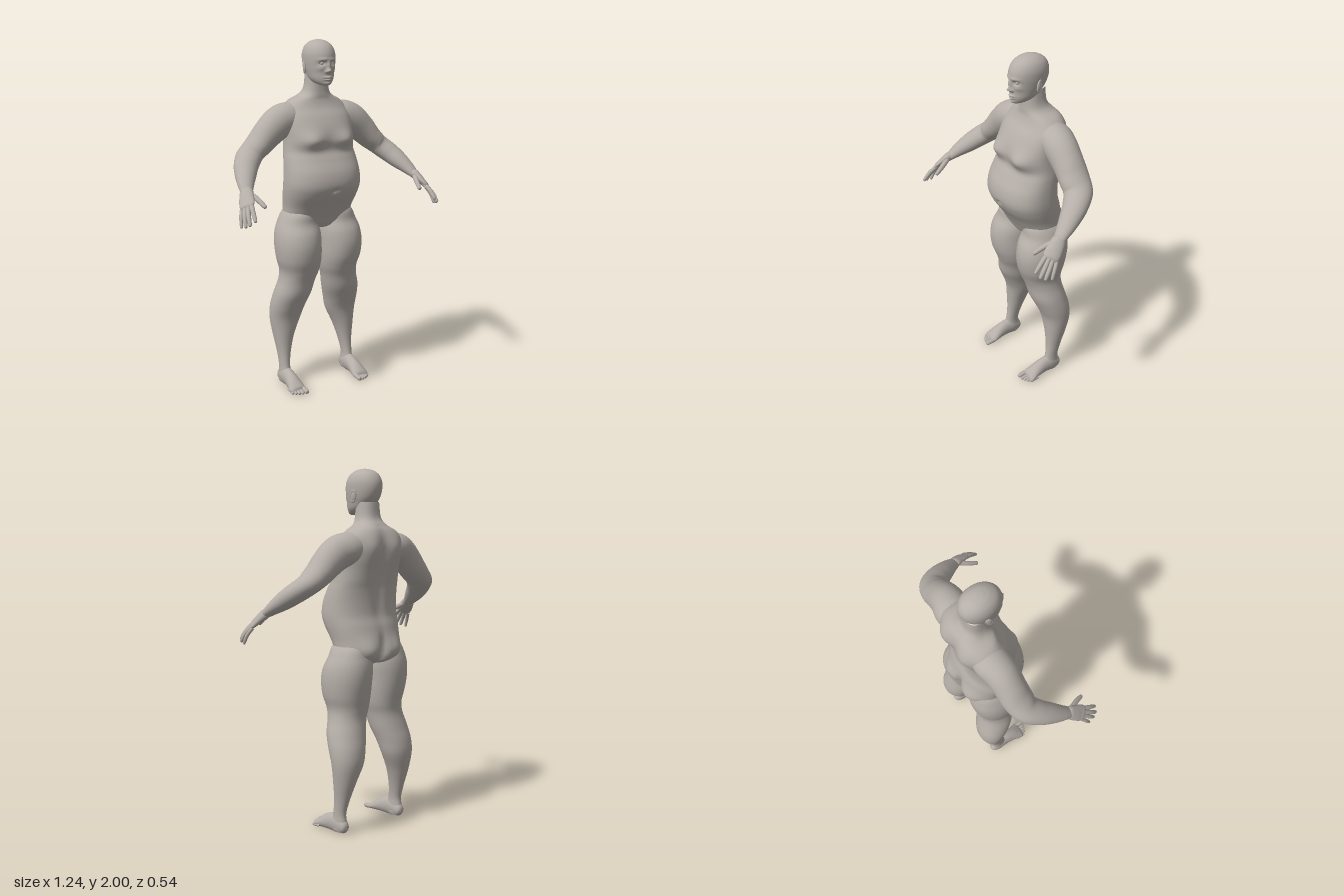
import * as THREE from 'three';

const skinMat = new THREE.MeshStandardMaterial({ color: 0xb5aea8 });
skinMat.name = 'skin';

// Smooth interpolation through table rows, t from 0 to 1
function sampler(rows) {
  const n = rows.length - 1;
  const curve = new THREE.CubicInterpolant(
    new Float32Array(rows.map((_, i) => i)), new Float32Array(rows.flat()), rows[0].length);
  return t => Array.from(curve.evaluate(THREE.MathUtils.clamp(t, 0, 1) * n));
}

// Closed tube of rings; ring(t) returns a function from angle to point
function skin(nu, nv, ring) {
  const pos = [], index = [];
  for (let i = 0; i <= nu; i++) {
    const at = ring(i / nu);
    for (let j = 0; j < nv; j++) {
      pos.push(...at(j / nv * Math.PI * 2));
      if (i === nu) continue;
      const a = i * nv + j, b = i * nv + (j + 1) % nv;
      index.push(a, a + nv, b, b, a + nv, b + nv);
    }
  }
  const g = new THREE.BufferGeometry();
  g.setAttribute('position', new THREE.Float32BufferAttribute(pos, 3));
  g.setIndex(index);
  g.computeVertexNormals();
  return g;
}

// Upright form, rows [y, centre x, half width, back z, front z], bottom to top.
// Bumps [x, y, width, height, push in z, side] sculpt the front (1) or back (-1).
function column(rows, nu, nv, power = 1, bumps = []) {
  const s = sampler(rows);
  const pw = v => Math.sign(v) * Math.abs(v) ** power;
  return skin(nu, nv, t => {
    const [y, xc, hw, zb, zf] = s(t);
    return a => {
      const sin = Math.sin(a), x = xc + Math.max(hw, 0) * pw(Math.cos(a));
      let z = (zb + zf) / 2 + (zf - zb) / 2 * pw(sin);
      for (const [bx, by, w, h, push, side] of bumps) {
        const facing = THREE.MathUtils.clamp(side * sin * 1.5, 0, 1);
        z += push * facing * Math.exp(-(((Math.abs(x) - bx) / w) ** 2) - ((y - by) / h) ** 2);
      }
      return [x, y, z];
    };
  });
}

// Form along a path, rows [x, y, z, thickness radius, width radius]
function limb(rows, nu, nv, up = [0, 1, 0]) {
  const s = sampler(rows), upV = new THREE.Vector3(...up);
  return skin(nu, nv, t => {
    const [x, y, z, rv, rh] = s(t);
    const T = new THREE.Vector3(...s(t + 0.01)).sub(new THREE.Vector3(...s(t - 0.01))).normalize();
    const B = new THREE.Vector3().crossVectors(upV, T).normalize();
    const A = new THREE.Vector3().crossVectors(T, B);
    return a => {
      const c = Math.cos(a) * Math.max(rv, 0), d = Math.sin(a) * Math.max(rh, 0);
      return [x + A.x * c + B.x * d, Math.max(0, y + A.y * c + B.y * d), z + A.z * c + B.z * d];
    };
  });
}

// Finger or toe through base, middle and tip
function digit(base, mid, tip, r, up) {
  const near = tip.map((v, i) => v * 0.88 + mid[i] * 0.12);
  return limb([[...base, r, r], [...mid, r, r], [...near, r * 0.75, r * 0.75], [...tip, 0, 0]], 16, 12, up);
}

function mirrored(g) {
  const m = g.clone().scale(-1, 1, 1), ix = m.index.array;
  for (let i = 0; i < ix.length; i += 3) [ix[i], ix[i + 1]] = [ix[i + 1], ix[i]];
  return m;
}

export function createModel() {
  const model = new THREE.Group();
  model.name = 'humanFigure';
  const add = (name, g) => {
    const mesh = new THREE.Mesh(g, skinMat);
    mesh.name = name;
    model.add(mesh);
  };
  const pair = (name, g) => {
    add('left' + name, g);
    add('right' + name, mirrored(g));
  };

  // Torso and neck, with chest, navel, spine, shoulder blades and buttocks
  add('torso', column([
    [0.935, 0, 0, -0.15, -0.09], [0.95, 0, 0.09, -0.215, -0.03], [0.98, 0, 0.17, -0.24, -0.005],
    [1.02, 0, 0.2, -0.247, 0.015], [1.08, 0, 0.208, -0.243, 0.05], [1.15, 0, 0.22, -0.23, 0.095],
    [1.21, 0, 0.225, -0.213, 0.115], [1.28, 0, 0.222, -0.21, 0.105], [1.35, 0, 0.215, -0.215, 0.07],
    [1.4, 0, 0.208, -0.225, 0.045], [1.46, 0, 0.204, -0.238, 0.05], [1.52, 0, 0.205, -0.25, 0.038],
    [1.58, 0, 0.205, -0.257, 0.008], [1.63, 0, 0.19, -0.25, -0.028], [1.67, 0, 0.15, -0.235, -0.045],
    [1.7, 0, 0.092, -0.212, -0.048], [1.74, 0, 0.068, -0.185, -0.05], [1.82, 0, 0.06, -0.175, -0.05],
  ], 130, 96, 0.86, [
    [0.11, 1.455, 0.065, 0.048, 0.03, 1], [0, 1.18, 0.014, 0.01, -0.014, 1],
    [0, 1.42, 0.035, 0.22, 0.016, -1], [0.09, 1.57, 0.055, 0.09, -0.018, -1],
    [0.1, 1.02, 0.07, 0.065, -0.026, -1], [0, 1, 0.018, 0.08, 0.035, -1],
  ]));

  // Head with sculpted face
  add('head', column([
    [1.752, 0, 0, -0.03, 0], [1.755, 0, 0.025, -0.05, 0.012], [1.768, 0, 0.047, -0.1, 0.02],
    [1.79, 0, 0.063, -0.14, 0.024], [1.82, 0, 0.072, -0.165, 0.024], [1.85, 0, 0.079, -0.185, 0.026],
    [1.89, 0, 0.084, -0.198, 0.03], [1.93, 0, 0.083, -0.197, 0.024], [1.965, 0, 0.07, -0.18, 0.004],
    [1.988, 0, 0.046, -0.148, -0.03], [1.998, 0, 0.02, -0.112, -0.064], [2, 0, 0, -0.088, -0.088],
  ], 110, 120, 0.97, [
    [0, 1.834, 0.011, 0.012, 0.024, 1], [0, 1.86, 0.009, 0.02, 0.012, 1],
    [0.013, 1.829, 0.007, 0.007, 0.009, 1], [0.032, 1.873, 0.016, 0.01, -0.014, 1],
    [0.03, 1.894, 0.025, 0.008, 0.005, 1], [0, 1.798, 0.021, 0.005, 0.012, 1],
    [0, 1.785, 0.018, 0.005, 0.011, 1], [0, 1.764, 0.02, 0.01, 0.008, 1],
    [0.045, 1.845, 0.018, 0.014, 0.005, 1],
  ]));
  pair('Eye', new THREE.SphereGeometry(0.012, 16, 12).translate(0.031, 1.873, 0.004));

  // Ears: shell and rim
  const onHead = g => g.rotateY(Math.PI / 2 + 0.3).rotateX(-0.15).translate(0.086, 1.85, -0.093);
  pair('EarShell', onHead(new THREE.SphereGeometry(1, 16, 12).scale(0.014, 0.03, 0.007)));
  pair('EarRim', onHead(new THREE.TorusGeometry(0.015, 0.004, 8, 24).scale(1, 1.9, 1.3)));

  // Legs
  pair('Leg', column([
    [0.01, 0.214, 0.028, -0.17, -0.08], [0.03, 0.214, 0.034, -0.178, -0.065],
    [0.07, 0.214, 0.032, -0.172, -0.07], [0.12, 0.214, 0.03, -0.168, -0.084],
    [0.2, 0.21, 0.04, -0.19, -0.092], [0.3, 0.203, 0.063, -0.222, -0.09],
    [0.4, 0.188, 0.092, -0.245, -0.08], [0.48, 0.178, 0.104, -0.242, -0.05],
    [0.56, 0.16, 0.11, -0.224, -0.015], [0.64, 0.14, 0.107, -0.208, 0.003],
    [0.7, 0.128, 0.113, -0.213, 0.025], [0.77, 0.132, 0.126, -0.228, 0.05],
    [0.85, 0.135, 0.13, -0.243, 0.058], [0.92, 0.132, 0.127, -0.248, 0.045],
    [0.98, 0.127, 0.112, -0.24, 0.015], [1.05, 0.12, 0.08, -0.215, -0.005], [1.1, 0.12, 0, -0.12, -0.1],
  ], 90, 48, 0.95));

  // Feet and toes
  pair('Foot', limb([
    [0.214, 0.03, -0.184, 0, 0], [0.214, 0.034, -0.17, 0.03, 0.026], [0.214, 0.05, -0.12, 0.054, 0.036],
    [0.214, 0.05, -0.07, 0.052, 0.036], [0.214, 0.04, -0.02, 0.042, 0.041],
    [0.214, 0.027, 0.02, 0.029, 0.047], [0.215, 0.018, 0.045, 0.018, 0.048], [0.215, 0.014, 0.058, 0, 0.03],
  ], 40, 32));
  [[0.18, 0.098, 0.014], [0.204, 0.093, 0.01], [0.222, 0.086, 0.01], [0.239, 0.076, 0.009], [0.254, 0.062, 0.009]]
    .forEach(([x, z, r], i) => pair('Toe' + (i + 1),
      digit([x, r + 0.006, z - 0.06], [x, r + 0.002, z - 0.02], [x, r, z], r)));

  // Arms from inside the shoulder to the wrist
  pair('Arm', limb([
    [0.08, 1.58, -0.15, 0, 0], [0.105, 1.58, -0.148, 0.065, 0.075], [0.16, 1.573, -0.142, 0.088, 0.095],
    [0.23, 1.55, -0.13, 0.092, 0.091], [0.3, 1.495, -0.125, 0.083, 0.085], [0.36, 1.437, -0.12, 0.07, 0.084],
    [0.42, 1.385, -0.105, 0.06, 0.077], [0.465, 1.34, -0.055, 0.056, 0.068], [0.495, 1.3, 0, 0.049, 0.058],
    [0.518, 1.265, 0.05, 0.037, 0.046], [0.533, 1.236, 0.09, 0.026, 0.035], [0.546, 1.212, 0.12, 0.016, 0.026],
  ], 80, 36));

  // Hands and fingers
  const palmUp = [0.56, 0.63, 0.2];
  pair('Palm', limb([
    [0.526, 1.25, 0.075, 0, 0], [0.535, 1.234, 0.095, 0.025, 0.033], [0.55, 1.21, 0.125, 0.023, 0.041],
    [0.562, 1.185, 0.155, 0.018, 0.044], [0.571, 1.168, 0.175, 0.014, 0.04], [0.576, 1.158, 0.186, 0, 0.025],
  ], 30, 28, palmUp));
  [
    ['Thumb', [0.527, 1.225, 0.115], [0.505, 1.196, 0.17], [0.488, 1.163, 0.226], 0.014],
    ['IndexFinger', [0.548, 1.186, 0.175], [0.56, 1.148, 0.225], [0.566, 1.104, 0.267], 0.012],
    ['MiddleFinger', [0.564, 1.172, 0.175], [0.583, 1.13, 0.219], [0.592, 1.083, 0.256], 0.012],
    ['RingFinger', [0.578, 1.161, 0.166], [0.597, 1.12, 0.202], [0.606, 1.072, 0.233], 0.0115],
    ['LittleFinger', [0.587, 1.156, 0.147], [0.605, 1.115, 0.174], [0.614, 1.064, 0.197], 0.01],
  ].forEach(([name, base, mid, tip, r]) => pair(name, digit(base, mid, tip, r, palmUp)));

  return model;
}
